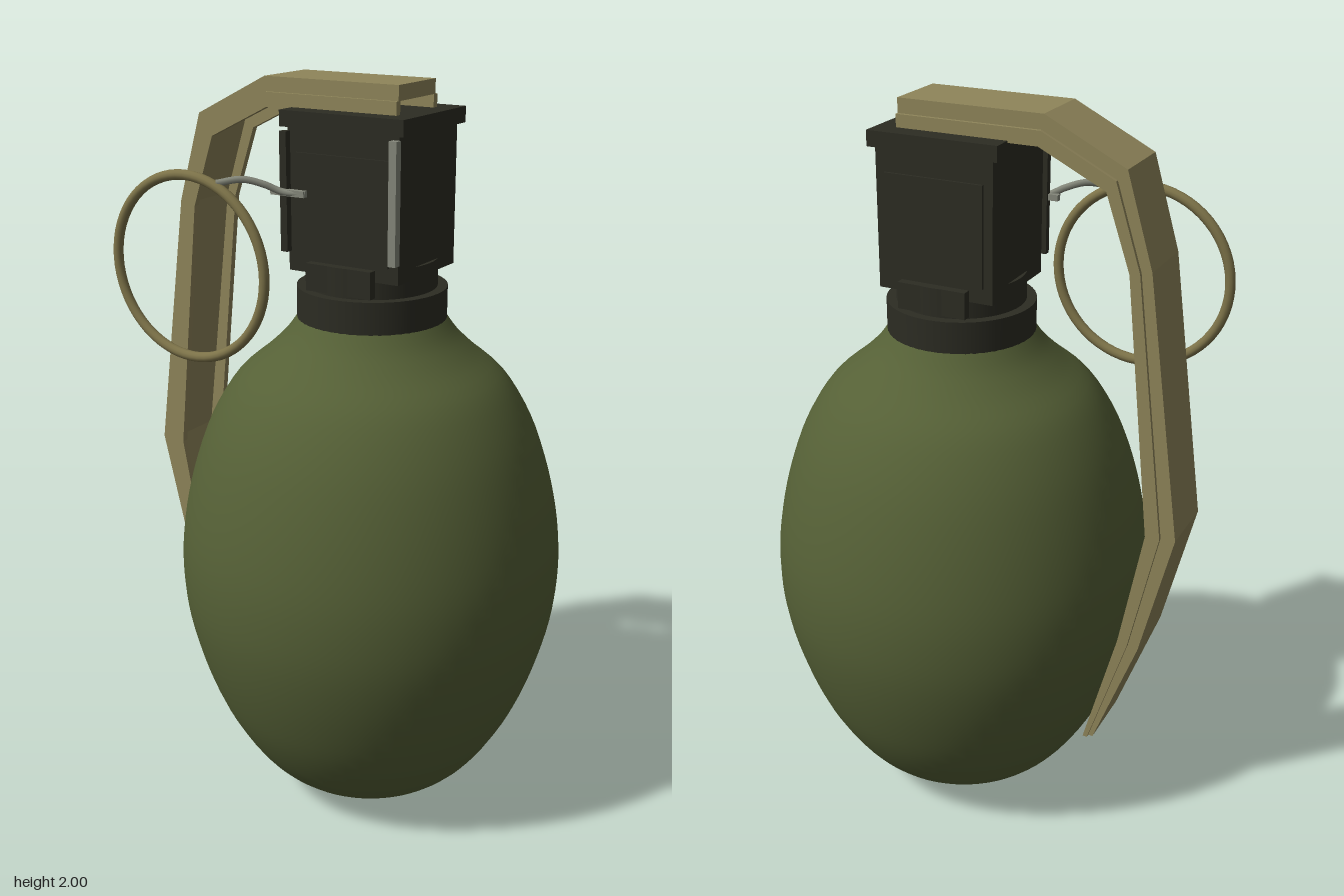
import * as THREE from 'three';

const material = (name, color) => {
  const m = new THREE.MeshStandardMaterial({ color });
  m.name = name;
  return m;
};

export function createModel() {
  const green = material('olive green', 0x556036);
  const dark = material('charcoal', 0x2c2c23);
  const tan = material('khaki', 0x8f855a);
  const brass = material('dull brass', 0x7d7349);
  const steel = material('grey steel', 0x84877a);

  const model = new THREE.Group();
  const CX = 0.065; // axis of the body and head

  const add = (name, geometry, mat, x = 0, y = 0, z = 0) => {
    const mesh = new THREE.Mesh(geometry, mat);
    mesh.name = name;
    mesh.position.set(x, y, z);
    model.add(mesh);
    return mesh;
  };
  // Box given by its limits on each axis
  const box = (name, mat, x0, x1, y0, y1, z0, z1) =>
    add(name, new THREE.BoxGeometry(x1 - x0, y1 - y0, z1 - z0), mat,
      (x0 + x1) / 2, (y0 + y1) / 2, (z0 + z1) / 2);

  // Egg-shaped body with a small flat foot
  const profile = [
    [0.105, 0.005], [0.215, 0.045], [0.32, 0.13], [0.41, 0.27], [0.47, 0.42],
    [0.508, 0.57], [0.52, 0.7], [0.512, 0.83], [0.48, 0.98], [0.43, 1.12],
    [0.36, 1.235], [0.275, 1.31], [0.225, 1.36], [0.19, 1.41],
  ].map(([r, y]) => new THREE.Vector2(r, y));
  const smooth = new THREE.SplineCurve(profile).getPoints(52);
  add('body', new THREE.LatheGeometry(smooth, 64), green, CX);
  const foot = add('foot', new THREE.CircleGeometry(0.105, 64), green, CX, 0.005);
  foot.rotation.x = Math.PI / 2;

  // Neck collars
  add('lowerCollar', new THREE.CylinderGeometry(0.196, 0.196, 0.095, 48), dark, CX, 1.4375);
  add('upperCollar', new THREE.CylinderGeometry(0.17, 0.17, 0.08, 48), dark, CX, 1.52);

  // Square head with cap, raised panels and lugs
  box('head', dark, -0.095, 0.225, 1.53, 1.9, -0.143, 0.143);
  box('headCap', dark, -0.112, 0.242, 1.89, 1.93, -0.155, 0.155);
  for (const s of [-1, 1]) {
    const z = s * 0.146;
    box('headPanel', dark, -0.07, 0.2, 1.57, 1.83, z - 0.004, z + 0.004);
    box('neckLug', dark, -0.03, 0.16, 1.49, 1.56, s * 0.155 - 0.012, s * 0.155 + 0.012);
  }

  // Narrow strips on the front corners of the head
  box('steelStrip', steel, 0.208, 0.229, 1.58, 1.88, 0.143, 0.165);
  box('darkStrip', dark, -0.108, -0.088, 1.58, 1.88, 0.143, 0.162);

  // Lever: a bent channel with a narrow back and slightly wider side flanges
  const outer = [[0.19, 2.0], [-0.2, 2.0], [-0.412, 1.895], [-0.485, 1.66],
    [-0.588, 0.96], [-0.505, 0.6], [-0.388, 0.27]];
  const inner = [[0.19, 1.925], [-0.19, 1.925], [-0.365, 1.84], [-0.432, 1.65],
    [-0.51, 0.96], [-0.45, 0.62], [-0.362, 0.27]];
  const middle = outer.map(([x, y], i) => [(x + inner[i][0]) / 2, (y + inner[i][1]) / 2]);
  const band = (name, a, b, z0, z1) => {
    const points = [...a, ...[...b].reverse()].map(([x, y]) => new THREE.Vector2(x, y));
    const geometry = new THREE.ExtrudeGeometry(new THREE.Shape(points),
      { depth: z1 - z0, bevelEnabled: false });
    add(name, geometry, tan, 0, 0, z0);
  };
  band('leverBack', outer, middle, -0.09, 0.09);
  band('leverFlangeFront', middle, inner, 0.082, 0.1);
  band('leverFlangeRear', middle, inner, -0.1, -0.082);

  // Pull ring
  add('pullRing', new THREE.TorusGeometry(0.239, 0.0135, 12, 64), brass, -0.338, 1.525, 0.25);

  // Bent pin running from the head to the ring
  const pinPath = new THREE.CatmullRomCurve3([
    [-0.035, 1.73, 0.155], [-0.1, 1.732, 0.165], [-0.14, 1.75, 0.187],
    [-0.185, 1.762, 0.215], [-0.24, 1.752, 0.25],
  ].map((p) => new THREE.Vector3(...p)));
  add('pin', new THREE.TubeGeometry(pinPath, 24, 0.009, 8), steel);
  box('pinHead', steel, -0.135, -0.035, 1.722, 1.738, 0.15, 0.166);

  return model;
}
